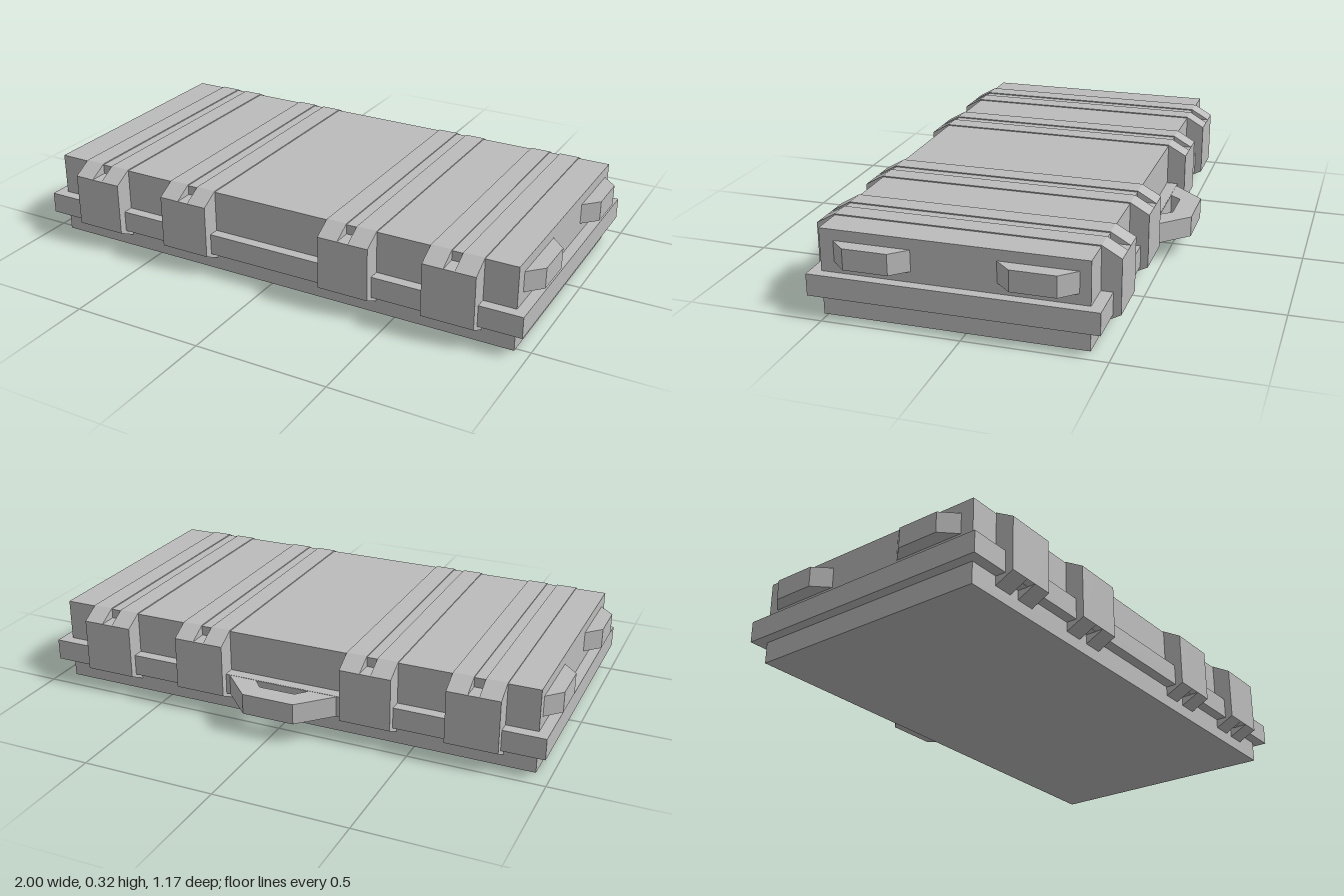
import * as THREE from 'three';

const grey = new THREE.MeshStandardMaterial({ color: 0xbcbcbc });
grey.name = 'case grey';

const toPoints = (pts) => pts.map(([a, b]) => new THREE.Vector2(a, b));

// Extrusion centred on its own depth
function prism(outline, depth, hole) {
  const shape = new THREE.Shape(toPoints(outline));
  if (hole) shape.holes.push(new THREE.Path(toPoints(hole)));
  return new THREE.ExtrudeGeometry(shape, { depth, bevelEnabled: false }).translate(0, 0, -depth / 2);
}

// Outline in (z, y), extruded along x
const sideways = (outline, width) => prism(outline, width).rotateY(-Math.PI / 2);
// Outline in (x, z), extruded along y
const upright = (outline, height, hole) => prism(outline, height, hole).rotateX(Math.PI / 2);

export function createModel() {
  const model = new THREE.Group();
  model.name = 'case';

  function add(parent, name, geometry, x = 0, y = 0, z = 0) {
    const mesh = new THREE.Mesh(geometry, grey);
    mesh.name = name;
    mesh.position.set(x, y, z);
    parent.add(mesh);
  }

  // Shell and the rim where lid and base meet
  add(model, 'shell', new THREE.BoxGeometry(1.89, 0.316, 0.94), 0, 0.158, 0.045);
  add(model, 'rim', new THREE.BoxGeometry(1.968, 0.08, 1.022), 0, 0.12, 0.044);

  // Clasps: paired straps across the lid, joined by a plate at front and back
  const strapOutline = [
    [-0.425, 0.045], [0.515, 0.045], [0.585, 0.081], [0.585, 0.28],
    [0.515, 0.32], [-0.425, 0.32], [-0.495, 0.28], [-0.495, 0.081],
  ];
  const strap = sideways(strapOutline, 0.077);
  const plate = new THREE.BoxGeometry(0.041, 0.199, 1.08);
  for (const x of [-0.73, -0.335, 0.33, 0.727]) {
    const clasp = new THREE.Group();
    clasp.name = 'clasp';
    clasp.position.x = x;
    for (const side of [-1, 1]) add(clasp, 'claspStrap', strap, side * 0.059);
    add(clasp, 'claspPlate', plate, 0, 0.1805, 0.045);
    model.add(clasp);
  }

  // Bevelled grips on both ends
  for (const side of [-1, 1]) {
    const outline = [[0.93, -0.138], [0.945, -0.138], [1, -0.08], [1, 0.08], [0.945, 0.138], [0.93, 0.138]];
    const grip = upright(outline.map(([x, z]) => [side * x, z]), 0.077);
    for (const z of [0.327, -0.249]) add(model, 'endGrip', grip, 0, 0.2375, z);
  }

  // Carrying handle on the back
  const handleOutline = [[-0.215, -0.46], [-0.215, -0.469], [-0.1, -0.587], [0.1, -0.587], [0.215, -0.469], [0.215, -0.46]];
  const handleHole = [[-0.105, -0.469], [-0.07, -0.51], [0.07, -0.51], [0.105, -0.469]];
  add(model, 'handle', upright(handleOutline, 0.078, handleHole), 0, 0.12, 0);

  return model;
}
